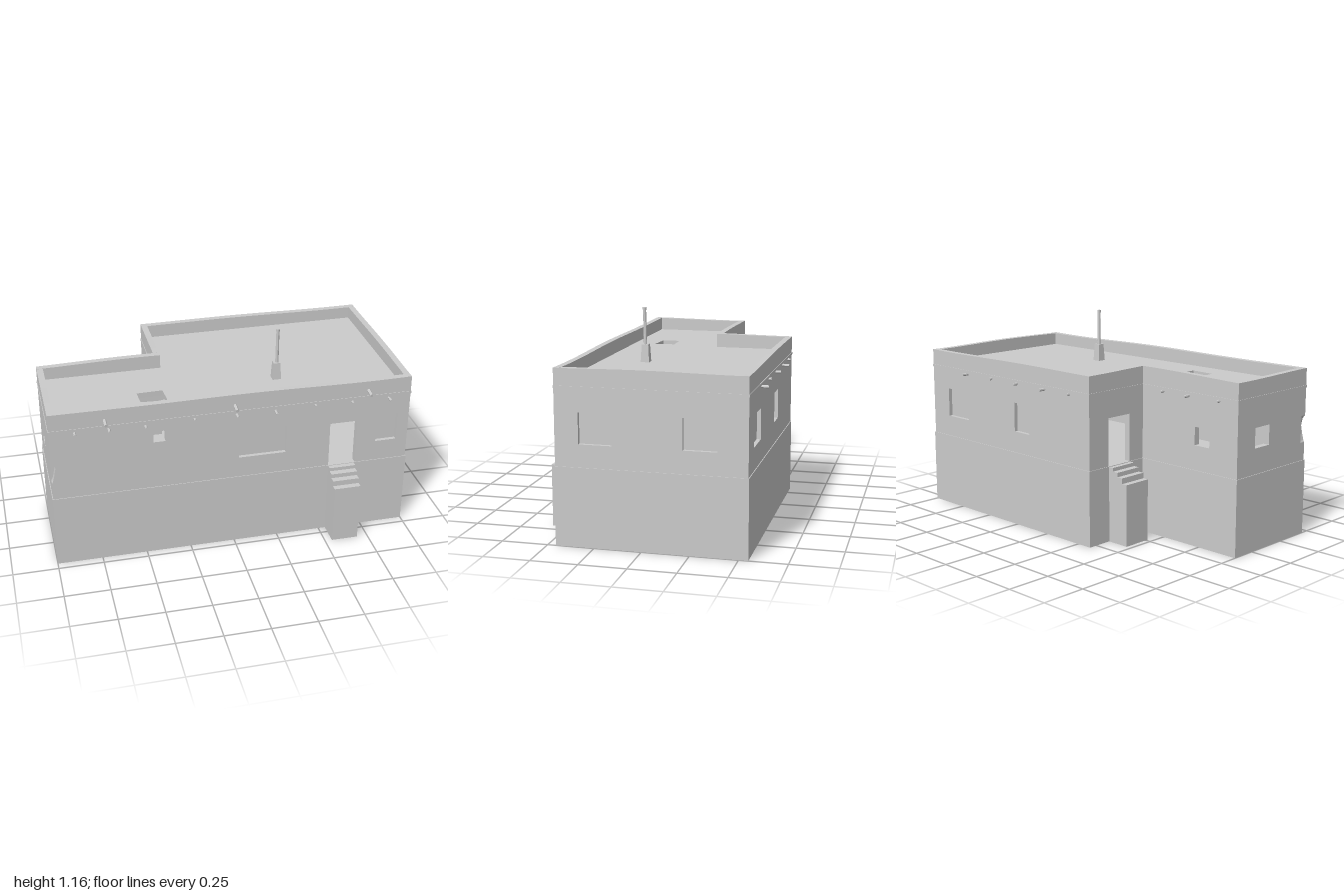
import * as THREE from 'three';

const T = 0.035;        // wall thickness
const FLOOR = 0.42, DECK = 0.855;
const mat = new THREE.MeshStandardMaterial({ color: 0xcccccc, flatShading: true, side: THREE.DoubleSide });

// L-shaped footprint as [x, z]
const L = [[-1, 0.455], [1, 0.455], [1, -0.55], [-0.34, -0.55], [-0.34, -0.14], [-1, -0.14]];

// footprint moved inward by d (all corners sit on axis-parallel edges)
const inset = d => [[-1 + d, 0.455 - d], [1 - d, 0.455 - d], [1 - d, -0.55 + d],
  [-0.34 + d, -0.55 + d], [-0.34 + d, -0.14 + d], [-1 + d, -0.14 + d]];

const poly = pts => pts.map(([a, b]) => new THREE.Vector2(a, b));
const rect = (a0, a1, b0, b1) => poly([[a0, b0], [a1, b0], [a1, b1], [a0, b1]]);

function add(parent, name, geo, x = 0, y = 0, z = 0) {
  const m = new THREE.Mesh(geo, mat);
  m.name = name;
  m.position.set(x, y, z);
  parent.add(m);
  return m;
}

// horizontal plate of outline pts [x, z] between y0 and y1
function plate(parent, name, pts, y0, y1, hole) {
  const shape = new THREE.Shape(poly(pts.map(([x, z]) => [x, -z])));
  if (hole) shape.holes.push(new THREE.Path(poly(hole.map(([x, z]) => [x, -z]))));
  const geo = new THREE.ExtrudeGeometry(shape, { depth: y1 - y0, bevelEnabled: false });
  geo.rotateX(-Math.PI / 2);
  return add(parent, name, geo, 0, y0, 0);
}

// hand-worn parapet height
const topY = (x, z) => 0.929 + 0.003 * Math.sin(3.3 * x + 2.6) + 0.003 * Math.sin(6 * z - 5 * x);

// Wall along x (alongZ false) or z, from u0 to u1; w is its low side across.
// openings: [u0, u1, y0, y1, closed]; paneSide is the depth of the panes (0..1)
function wall(parent, name, alongZ, u0, u1, w, openings, paneSide, wornEdge = []) {
  const pts = [[u0, FLOOR - 0.006], [u1, FLOOR - 0.006]];
  const n = 24;
  for (let i = n; i >= 0; i--) {
    const u = u0 + (u1 - u0) * i / n;
    pts.push([u, alongZ ? topY(w, u) : topY(u, w)]);
  }
  pts.push(...wornEdge);
  const shape = new THREE.Shape(poly(pts));
  for (const [a, b, c, d] of openings) shape.holes.push(new THREE.Path(rect(a, b, c, d)));
  const g = new THREE.Group();
  g.name = name;
  add(g, name + 'Body', new THREE.ExtrudeGeometry(shape, { depth: T, bevelEnabled: false }));
  for (const [a, b, c, d, closed] of openings) {
    if (closed) add(g, 'windowPane', new THREE.BoxGeometry(b - a, d - c, 0.006), (a + b) / 2, (c + d) / 2, T * paneSide);
  }
  if (alongZ) { g.rotation.y = -Math.PI / 2; g.position.x = w + T; } else g.position.z = w;
  parent.add(g);
}

// stair block: profile [outward, y], extruded across its width
function stairs(parent, name, width) {
  const profile = [[0, 0], [0.13, 0], [0.13, 0.342], [0.097, 0.342], [0.097, 0.373], [0.062, 0.373],
    [0.062, 0.397], [0.027, 0.397], [0.027, 0.417], [0, 0.417]];
  const geo = new THREE.ExtrudeGeometry(new THREE.Shape(poly(profile)), { depth: width, bevelEnabled: false });
  geo.translate(0, 0, -width / 2);
  return add(parent, name, geo);
}

// round pole sticking out of a front (dir 1) or back (dir -1) wall
function pole(parent, name, x, y, z, dir, length, r, tilt = 0) {
  const geo = new THREE.CylinderGeometry(r, r, length + 0.03, 7);
  geo.translate(0, (length - 0.03) / 2, 0);
  const m = add(parent, name, geo, x, y, z);
  m.rotation.x = dir * (Math.PI / 2 + tilt);
}

export function createModel() {
  const house = new THREE.Group();
  house.name = 'house';

  // open-bottomed foundation
  const base = new THREE.Group();
  base.name = 'foundation';
  house.add(base);
  L.forEach(([x0, z0], i) => {
    const [x1, z1] = L[(i + 1) % L.length];
    const geo = new THREE.PlaneGeometry(Math.hypot(x1 - x0, z1 - z0), FLOOR - 0.004);
    const m = add(base, 'foundationWall', geo, (x0 + x1) / 2, (FLOOR - 0.004) / 2, (z0 + z1) / 2);
    m.rotation.y = Math.atan2(z0 - z1, x1 - x0);
  });
  plate(house, 'foundationLedge', L, FLOOR - 0.006, FLOOR, inset(T));
  plate(house, 'floor', inset(0.01), FLOOR - 0.008, FLOOR - 0.001);

  // walls with door and window openings
  const E = 0.004, F = 0.455 - E - T, B = -0.55 + E, N = -0.14 + E;
  wall(house, 'frontWall', false, -1 + E, 1 - E, F, [
    [-0.445, -0.38, 0.70, 0.765], [0.025, 0.29, 0.54, 0.705, true],
    [0.54, 0.695, FLOOR, 0.685], [0.81, 0.93, 0.54, 0.705, true],
  ], 0.3, [[-0.996, 0.67], [-0.98, 0.65], [-0.972, 0.61], [-0.982, 0.56], [-0.99, 0.53], [-0.996, 0.52]]);
  wall(house, 'leftWall', true, B + T, F, 1 - E - T,
    [[0.15, 0.325, 0.54, 0.705, true], [-0.39, -0.215, 0.54, 0.705, true]], 0.7);
  wall(house, 'backWall', false, -0.34 + E, 1 - E, B,
    [[0.67, 0.855, 0.54, 0.705, true], [0.14, 0.262, 0.54, 0.705, true]], 0.7);
  wall(house, 'recessSideWall', true, B + T, N, -0.34 + E, [[-0.405, -0.24, FLOOR, 0.685]], 0.5);
  wall(house, 'recessBackWall', false, -1 + E, -0.34 + E + T, N, [[-0.81, -0.71, 0.555, 0.655]], 0.5);
  wall(house, 'rightWall', true, N + T, F, -1 + E, [[0.01, 0.13, 0.56, 0.67]], 0.5);

  // raised band below the parapet
  plate(house, 'wallBand', inset(0.001), 0.822, 0.836, inset(0.02));

  // roof deck with hatch opening
  plate(house, 'roofDeck', inset(0.03), DECK - 0.03, DECK,
    [[-0.485, 0.175], [-0.34, 0.17], [-0.335, 0.287], [-0.48, 0.277]]);

  // stairs at both doors
  const front = stairs(house, 'frontStairs', 0.15);
  front.rotation.y = -Math.PI / 2;
  front.position.set(0.615, 0, 0.455);
  const back = stairs(house, 'backStairs', 0.165);
  back.rotation.y = Math.PI;
  back.position.set(-0.34, 0, -0.32);

  // roof beam ends
  [-0.86, -0.68, -0.485, -0.22, 0.01, 0.225, 0.45, 0.66, 0.87].forEach((x, i) =>
    pole(house, 'beamEnd', x, 0.812 + 0.005 * Math.sin(i * 2.3), 0.45, 1, 0.032 + 0.012 * Math.sin(i * 1.7), 0.007));
  [[-0.87, -0.14, 0.018], [-0.665, -0.14, 0.036], [-0.485, -0.14, 0.018], [-0.185, -0.55, 0.014],
    [0.01, -0.55, 0.036], [0.235, -0.55, 0.025], [0.455, -0.55, 0.012], [0.67, -0.55, 0.036]]
    .forEach(([x, z, len]) => pole(house, 'beamEnd', x, 0.815, z, -1, len, 0.008));

  // sloping roof spouts through the front parapet
  [-0.7, 0, 0.75].forEach(x => pole(house, 'roofSpout', x, 0.869, 0.45, 1, 0.052, 0.009, 0.15));

  // stove pipe on a tapered footing
  const footing = new THREE.CylinderGeometry(0.026, 0.034, 0.1, 4);
  footing.rotateY(Math.PI / 4);
  add(house, 'pipeFooting', footing, 0.305, DECK + 0.048, 0.165);
  const pipe = add(house, 'stovePipe', new THREE.CylinderGeometry(0.009, 0.01, 0.22, 8), 0.308, 1.04, 0.168);
  pipe.rotation.x = 0.02;
  add(house, 'pipeCap', new THREE.CylinderGeometry(0.011, 0.011, 0.014, 8), 0.308, 1.149, 0.17);

  return house;
}
